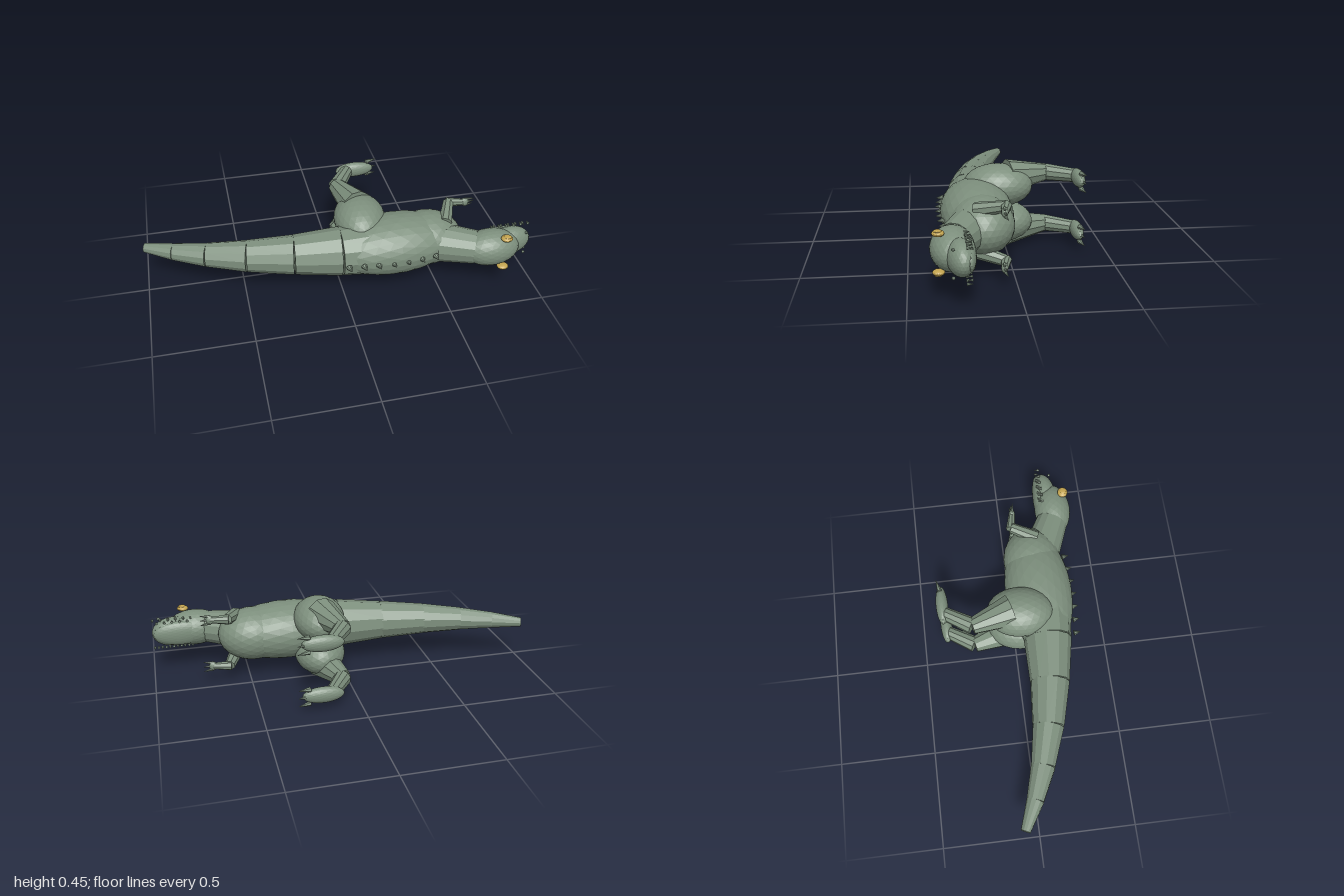
import * as THREE from 'three';

const MID = 0.227; // height of the symmetry plane: the animal lies on its side, its back towards +z

export function createModel() {
  const root = new THREE.Group();
  root.name = 'dinosaur';
  const hide = new THREE.MeshStandardMaterial({ color: 0x7d8f7d, flatShading: true });
  hide.name = 'grey green hide';
  const gold = new THREE.MeshStandardMaterial({ color: 0xc2a34f, flatShading: true });
  gold.name = 'gold eye';

  const add = (name, geometry, material = hide) => {
    const mesh = new THREE.Mesh(geometry, material);
    mesh.name = name;
    root.add(mesh);
    return mesh;
  };
  // Faceted ellipsoid; v is measured sideways from the symmetry plane
  const blob = (name, [x, v, z], [rx, ry, rz], tilt = 0, detail = 4, material = hide) => {
    const mesh = add(name, new THREE.IcosahedronGeometry(1, detail), material);
    mesh.scale.set(rx, ry, rz);
    mesh.rotation.y = tilt;
    mesh.position.set(x, MID + v, z);
    return mesh;
  };
  // Tapered cylinder from a to b
  const limb = (name, a, b, ra, rb, sides = 12) => {
    const p = new THREE.Vector3(a[0], MID + a[1], a[2]);
    const q = new THREE.Vector3(b[0], MID + b[1], b[2]);
    const mesh = add(name, new THREE.CylinderGeometry(rb, ra, p.distanceTo(q), sides));
    mesh.position.copy(p).add(q).multiplyScalar(0.5);
    mesh.quaternion.setFromUnitVectors(new THREE.Vector3(0, 1, 0), q.sub(p).normalize());
    return mesh;
  };

  // Torso, chest and neck
  blob('torso', [0.28, 0, 0.155], [0.36, 0.153, 0.181], 0.03);
  blob('chest', [0.465, 0, 0.143], [0.188, 0.14, 0.157]);
  limb('neck', [0.5, 0, 0.195], [0.69, 0, 0.285], 0.105, 0.088, 14);

  // Tail: x, z and radius at each joint, in straight tapering segments
  const tail = [
    [0.25, 0.172, 0.148], [-0.005, 0.168, 0.128], [-0.243, 0.147, 0.104], [-0.478, 0.107, 0.083],
    [-0.68, 0.053, 0.063], [-0.845, -0.008, 0.045], [-0.99, -0.075, 0.025],
  ];
  for (let i = 0; i < tail.length - 1; i++) {
    const [x0, z0, r0] = tail[i], [x1, z1, r1] = tail[i + 1];
    limb('tailSegment' + (i + 1), [x0, 0, z0], [x1, 0, z1], r0, r1);
  }

  // Head
  blob('skull', [0.765, 0, 0.298], [0.152, 0.096, 0.1]);
  blob('snout', [0.88, 0, 0.268], [0.115, 0.08, 0.062], 0.12);
  blob('lowerJaw', [0.84, 0, 0.232], [0.148, 0.068, 0.034]);

  // Ridge spikes along the back
  for (let i = 0; i < 7; i++) {
    const x = 0.01 + i * 0.0758;
    const z = 0.322 + 0.012 * Math.sin((i / 6) * Math.PI);
    limb('backSpike', [x, 0, z - 0.01], [x + 0.005, 0, z + 0.026], 0.016, 0.001, 8);
  }

  for (const s of [1, -1]) {
    const side = s > 0 ? 'upper' : 'lower';

    // Eye with a raised pupil disc
    blob(side + 'Eye', [0.82, s * 0.089, 0.36], [0.03, 0.014, 0.028], 0, 3, gold);
    blob(side + 'Pupil', [0.823, s * 0.1, 0.362], [0.02, 0.006, 0.018], 0, 2, gold);
    blob(side + 'Nostril', [0.955, s * 0.063, 0.302], [0.008, 0.008, 0.008], 0, 1);

    // Teeth: two interlocking rows
    for (let i = 0; i < 6; i++) {
      const x = 0.785 + i * 0.04;
      limb('upperTooth', [x, s * 0.079, 0.248], [x, s * 0.079, 0.222], 0.008, 0.0008, 6);
      if (i < 5) limb('lowerTooth', [x + 0.02, s * 0.07, 0.22], [x + 0.02, s * 0.07, 0.244], 0.007, 0.0008, 6);
    }

    // Hind leg
    const v = s * 0.14;
    blob(side + 'Thigh', [0.128, s * 0.096, 0.035], [0.135, 0.11, 0.178], -0.08);
    limb(side + 'Shin', [0.123, v, -0.015], [0.06, v, -0.225], 0.087, 0.044, 10);
    limb(side + 'Ankle', [0.062, v, -0.222], [0.155, v, -0.372], 0.045, 0.035, 10);
    blob(side + 'Foot', [0.195, v, -0.369], [0.107, 0.043, 0.032], 0, 3);
    for (const k of [-1, 0, 1]) {
      const c = v + k * 0.038;
      limb('toeClaw', [0.262, c, -0.372], [0.322, c + k * 0.005, -0.386], 0.014, 0.001, 6);
    }

    // Arm
    limb(side + 'UpperArm', [0.55, s * 0.1, 0.18], [0.61, s * 0.132, 0.045], 0.037, 0.028, 8);
    limb(side + 'Forearm', [0.6, s * 0.132, 0.042], [0.695, s * 0.132, 0.06], 0.026, 0.017, 8);
    blob(side + 'Hand', [0.695, s * 0.132, 0.06], [0.022, 0.024, 0.016], 0, 2);
    for (const k of [-1, 0, 1]) {
      const c = s * 0.132 + k * 0.017;
      limb('fingerClaw', [0.695, c, 0.06], [0.745, c + k * 0.005, 0.058 + 0.01 * k], 0.01, 0.001, 6);
    }
  }
  return root;
}
